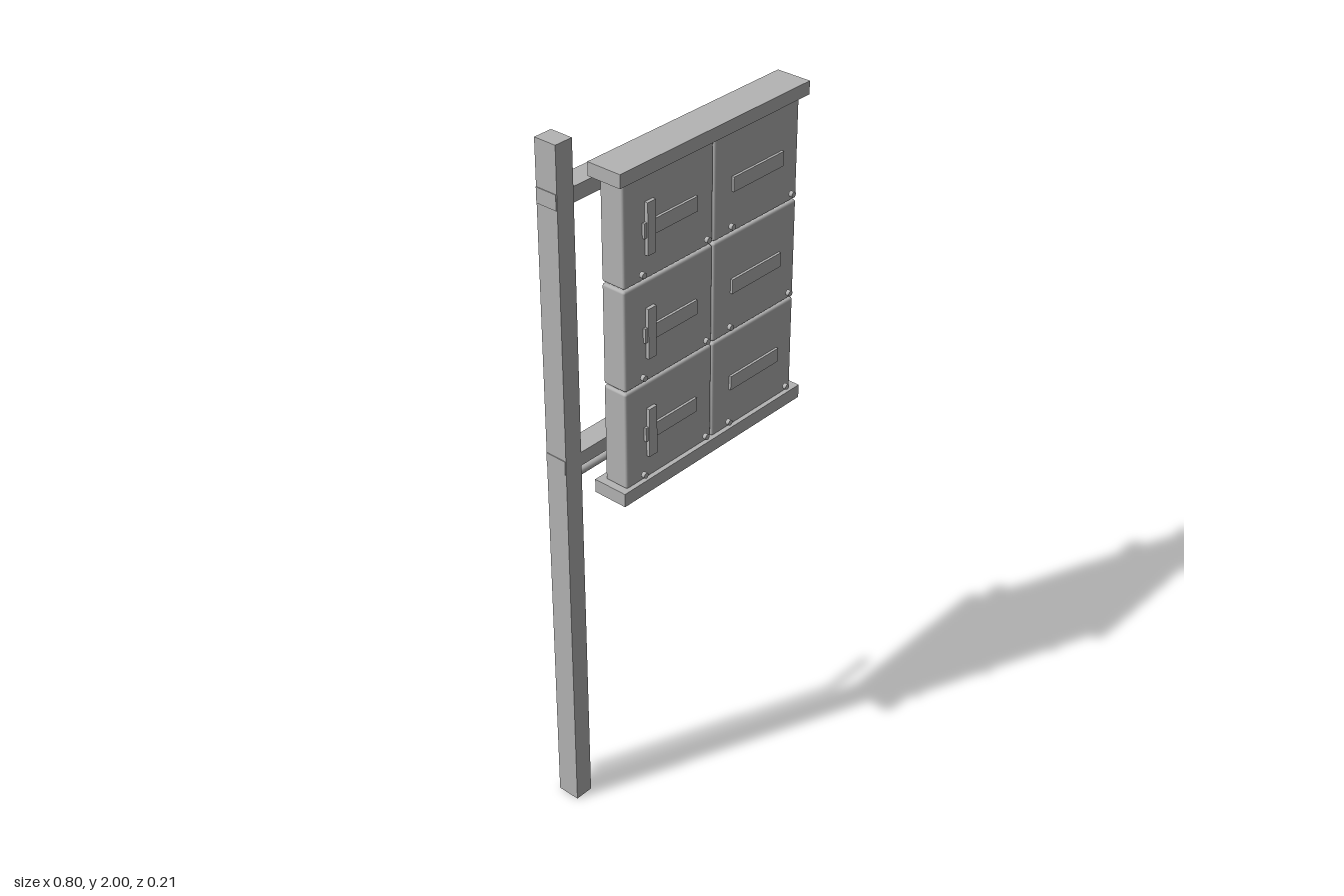
import * as THREE from 'three';
import { RoundedBoxGeometry } from 'three/addons/geometries/RoundedBoxGeometry.js';

export function createModel() {
  const model = new THREE.Group();
  model.name = 'mailboxStand';
  const grey = new THREE.MeshStandardMaterial({ color: 0xb4b4b4 });
  grey.name = 'grey';

  const add = (name, geometry) => {
    const mesh = new THREE.Mesh(geometry, grey);
    mesh.name = name;
    model.add(mesh);
    return mesh;
  };
  // Box given by its minimum and maximum on each axis
  const box = (name, x0, x1, y0, y1, z0, z1, radius = 0) => {
    const size = [x1 - x0, y1 - y0, z1 - z0];
    const geometry = radius
      ? new RoundedBoxGeometry(...size, 2, radius)
      : new THREE.BoxGeometry(...size);
    add(name, geometry).position.set((x0 + x1) / 2, (y0 + y1) / 2, (z0 + z1) / 2);
  };

  // Post and the two rails that carry the boxes
  box('post', -0.398, -0.343, 0, 2, -0.08, -0.013);
  box('lowerRail', -0.4, 0.23, 1.092, 1.132, -0.079, -0.015);
  box('upperRail', -0.4, 0.23, 1.832, 1.874, -0.079, -0.015);

  // Slabs above and below the boxes
  box('roofSlab', -0.297, 0.4, 1.886, 1.923, -0.011, 0.092);
  box('baseSlab', -0.297, 0.4, 0.99, 1.029, -0.011, 0.092);

  // Mailboxes in three rows and two columns
  for (let row = 0; row < 3; row++) {
    const y = 1.026 + row * 0.2885;
    for (const [column, x] of [-0.276, 0.052].entries()) {
      box('mailbox', x, x + 0.324, y, y + 0.284, 0.006, 0.08, 0.007);
      box('mailSlot', x + 0.066, x + 0.259, y + 0.116, y + 0.157, 0.077, 0.087);
      if (column === 0) box('flag', x + 0.075, x + 0.104, y + 0.068, y + 0.21, 0.077, 0.09);
      for (const dx of [0.045, 0.281]) {
        const pin = add('pin', new THREE.CylinderGeometry(0.008, 0.008, 0.011, 16));
        pin.rotation.x = Math.PI / 2;
        pin.position.set(x + dx, y + 0.033, 0.1005);
      }
    }
  }

  // Bent conduit behind the post, its two lengths mitred at the corner
  const conduit = (name, length, rotation) => {
    const geometry = new THREE.CylinderGeometry(0.011, 0.011, length, 16);
    geometry.translate(0, -length / 2, 0);
    const p = geometry.attributes.position;
    for (let i = 0; i < p.count; i++) {
      if (p.getY(i) > -0.001) p.setY(i, rotation ? p.getX(i) : -p.getX(i));
    }
    geometry.rotateZ(rotation);
    geometry.computeVertexNormals();
    add(name, geometry).position.set(-0.333, 1.001, -0.096);
  };
  conduit('conduitUpright', 0.924, 0);
  conduit('conduitArm', 0.173, Math.PI / 2);

  return model;
}
